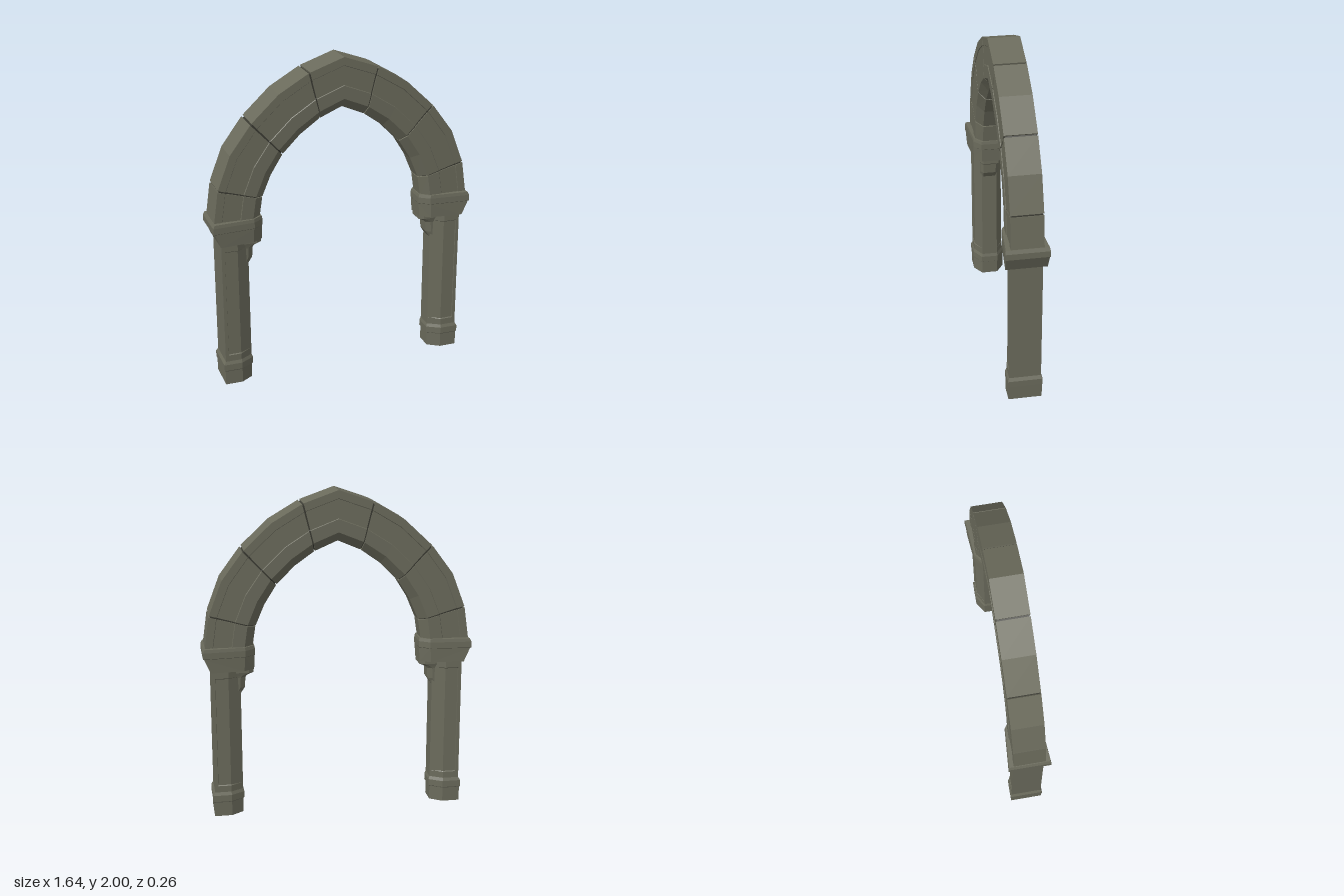
import * as THREE from 'three';

const stone = new THREE.MeshStandardMaterial({ color: 0x6b6b5c, flatShading: true });
const mortar = new THREE.MeshStandardMaterial({ color: 0x3a3a32, flatShading: true });

// Closed solid through a list of rings (arrays of Vector3 with equal counts), faces turned outward
function loft(name, rings, material = stone) {
  const tris = [];
  const n = rings[0].length;
  for (let r = 0; r < rings.length - 1; r++) {
    for (let i = 0; i < n; i++) {
      const j = (i + 1) % n;
      const [a, b, c, d] = [rings[r][i], rings[r][j], rings[r + 1][j], rings[r + 1][i]];
      tris.push([a, b, c], [a, c, d]);
    }
  }
  const cap = (ring, flip) => {
    const mid = ring.reduce((s, p) => s.add(p), new THREE.Vector3()).divideScalar(n);
    ring.forEach((p, i) => {
      const q = ring[(i + 1) % n];
      tris.push(flip ? [mid, q, p] : [mid, p, q]);
    });
  };
  cap(rings[0], true);
  cap(rings[rings.length - 1], false);
  const cross = new THREE.Vector3();
  const volume = tris.reduce((s, [a, b, c]) => s + a.dot(cross.crossVectors(b, c)), 0);
  const points = tris.flatMap(([a, b, c]) => (volume < 0 ? [a, c, b] : [a, b, c]));
  const geometry = new THREE.BufferGeometry().setFromPoints(points);
  geometry.computeVertexNormals();
  const mesh = new THREE.Mesh(geometry, material);
  mesh.name = name;
  return mesh;
}

// Arch stations from spring to crown: inner x, inner y, outer x, outer y
const half = [
  [0.52, 1.06, 0.81, 1.06],
  [0.50, 1.19, 0.78, 1.27],
  [0.445, 1.32, 0.70, 1.48],
  [0.37, 1.44, 0.57, 1.655],
  [0.26, 1.55, 0.40, 1.815],
  [0.14, 1.635, 0.213, 1.925],
  [0, 1.695, 0, 2],
];
const stations = [
  ...half,
  ...half.slice(0, -1).reverse().map(([a, b, c, d]) => [-a, b, -c, d]),
];

// Arch section: [share of the way from inner to outer, z], with a splayed soffit and a shallow panel
const sideProfile = [
  [0, 0.05], [0.18, 0.094], [0.44, 0.095], [0.45, 0.091], [0.83, 0.091], [0.84, 0.095], [1, 0.095],
];
const archSection = [...sideProfile, ...sideProfile.map(([u, z]) => [u, -z]).reverse()];

function archRing([ix, iy, ox, oy], shrink = 0) {
  return archSection.map(([u, z]) => {
    const v = shrink + u * (1 - 2 * shrink);
    return new THREE.Vector3(ix + (ox - ix) * v, iy + (oy - iy) * v, z * (1 - 2 * shrink));
  });
}

function buildArch() {
  const arch = new THREE.Group();
  arch.name = 'arch';
  const mix = (a, b, t) => a.map((v, i) => v + (b[i] - v) * t);
  const joints = [0, 1, 3, 5, 7, 9, 11, 12];
  const gap = 0.025;
  for (let k = 0; k < joints.length - 1; k++) {
    const block = stations.slice(joints[k], joints[k + 1] + 1);
    const last = block.length - 1;
    const first = mix(block[0], block[1], gap);
    const end = mix(block[last], block[last - 1], gap);
    block[0] = first;
    block[last] = end;
    const name = k === 3 ? 'keystone' : k === 0 || k === 6 ? 'springer' : 'voussoir';
    arch.add(loft(name, block.map((s) => archRing(s))));
  }
  // Recessed core visible in the joints
  arch.add(loft('mortarCore', stations.map((s) => archRing(s, 0.035)), mortar));
  return arch;
}

// Horizontal six-sided ring: outer, chamfer and inner x; outer, chamfer and inner half depth
function pierRing(side, y, xo, xc, xi, zo, zc, zi) {
  return [[xo, zo], [xc, zc], [xi, zi], [xi, -zi], [xc, -zc], [xo, -zo]]
    .map(([x, z]) => new THREE.Vector3(side * x, y, z));
}

// Shaft ring whose broad faces are set back by the given depth
function shaftRing(side, y, inset) {
  const edge = [[0.772, 0.096], [0.752, 0.096], [0.75, 0.096 - inset], [0.672, 0.096 - inset], [0.596, 0.05]];
  return [...edge, ...edge.map(([x, z]) => [x, -z]).reverse()]
    .map(([x, z]) => new THREE.Vector3(side * x, y, z));
}

function buildPier(side) {
  const pier = new THREE.Group();
  pier.name = side > 0 ? 'leftPier' : 'rightPier';

  pier.add(loft('base', [
    pierRing(side, 0, 0.777, 0.67, 0.597, 0.101, 0.101, 0.052),
    pierRing(side, 0.09, 0.778, 0.67, 0.596, 0.102, 0.102, 0.052),
    pierRing(side, 0.095, 0.784, 0.67, 0.589, 0.104, 0.104, 0.055),
    pierRing(side, 0.135, 0.784, 0.67, 0.589, 0.104, 0.104, 0.055),
    pierRing(side, 0.155, 0.772, 0.672, 0.596, 0.096, 0.096, 0.05),
  ]));

  pier.add(loft('shaft', [
    shaftRing(side, 0.15, 0),
    shaftRing(side, 0.195, 0),
    shaftRing(side, 0.2, 0.005),
    shaftRing(side, 0.88, 0.005),
    shaftRing(side, 0.885, 0),
    shaftRing(side, 0.94, 0),
  ]));

  pier.add(loft('capital', [
    pierRing(side, 0.928, 0.778, 0.575, 0.513, 0.121, 0.104, 0.06),
    pierRing(side, 1.015, 0.815, 0.57, 0.508, 0.125, 0.106, 0.06),
    pierRing(side, 1.018, 0.822, 0.567, 0.506, 0.128, 0.108, 0.062),
    pierRing(side, 1.055, 0.822, 0.567, 0.506, 0.128, 0.108, 0.062),
    pierRing(side, 1.075, 0.812, 0.57, 0.51, 0.124, 0.105, 0.06),
  ]));

  // Stepped corbel carrying the inner overhang of the capital
  const corbel = [
    [0.77, 0.596, 0.046], [0.81, 0.57, 0.046], [0.875, 0.565, 0.047],
    [0.888, 0.555, 0.05], [0.906, 0.515, 0.055], [0.935, 0.515, 0.055],
  ];
  pier.add(loft('corbel', corbel.map(([y, x, z]) =>
    pierRing(side, y, 0.66, Math.min(x + 0.03, 0.62), x, z + 0.012, z + 0.012, z - 0.006))));
  return pier;
}

export function createModel() {
  const model = new THREE.Group();
  model.name = 'stoneArchway';
  model.add(buildArch(), buildPier(1), buildPier(-1));
  return model;
}
